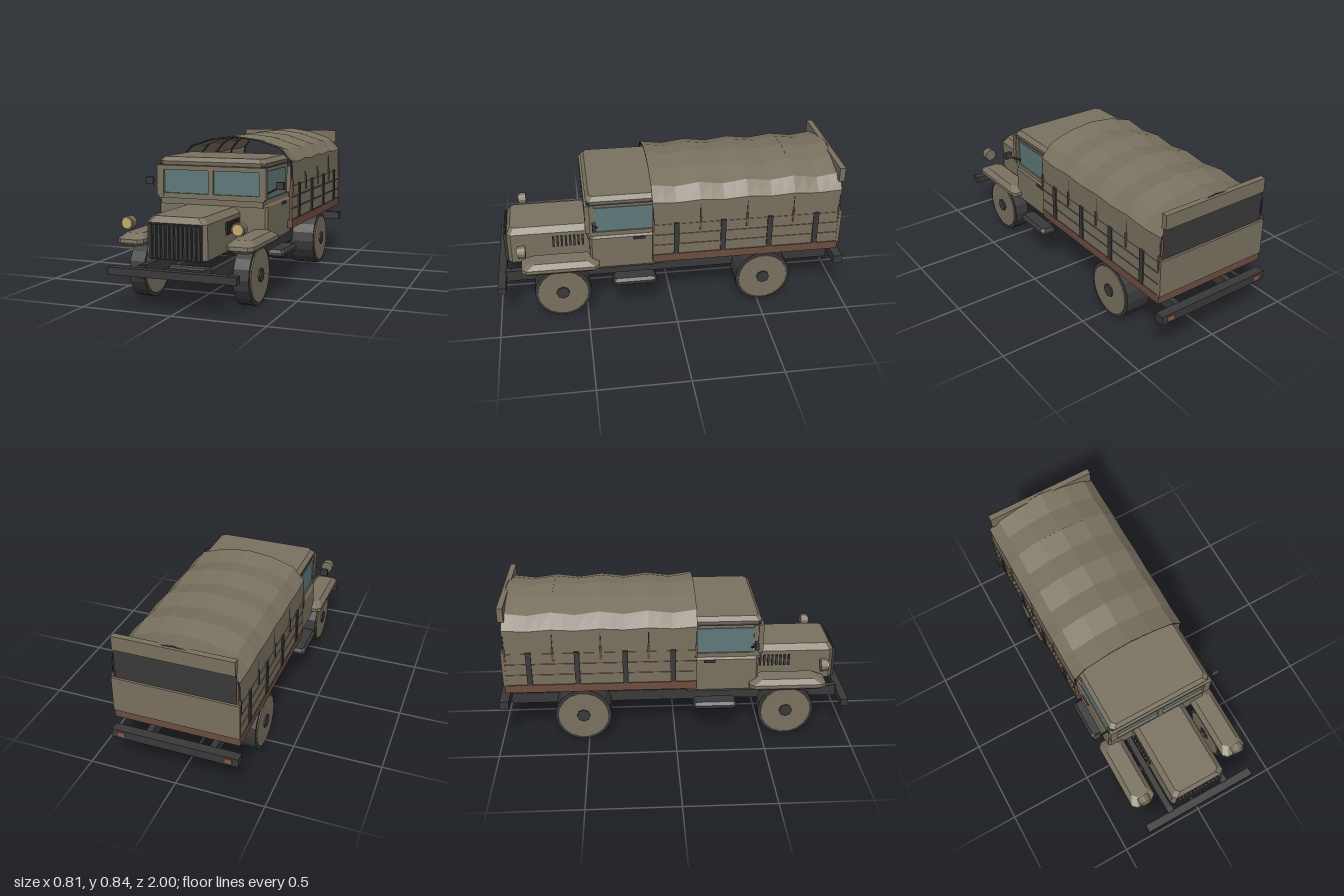
import * as THREE from 'three';

const mat = (name, color, extra = {}) => {
  const m = new THREE.MeshStandardMaterial({ color, flatShading: true, ...extra });
  m.name = name;
  return m;
};

export function createModel() {
  const paint = mat('olive tan paint', 0x79715f, { side: THREE.DoubleSide });
  const dark = mat('dark metal', 0x39393a);
  const glass = mat('window glass', 0x5f7878);
  const wood = mat('brown wood', 0x6c4c3e);
  const gold = mat('headlight lens', 0xc6ac6c);
  const amber = mat('tail light', 0x8a5a40);
  const truck = new THREE.Group();
  truck.name = 'truck';

  const add = (name, geo, m, x = 0, y = 0, z = 0) => {
    const mesh = new THREE.Mesh(geo, m);
    mesh.name = name;
    mesh.position.set(x, y, z);
    truck.add(mesh);
    return mesh;
  };
  // Box given by its limits on each axis
  const box = (name, m, x0, x1, y0, y1, z0, z1) =>
    add(name, new THREE.BoxGeometry(Math.abs(x1 - x0), y1 - y0, z1 - z0), m,
      (x0 + x1) / 2, (y0 + y1) / 2, (z0 + z1) / 2);
  // The same box on both sides
  const pair = (name, m, x0, x1, ...rest) => {
    for (const s of [1, -1]) box(name, m, s * x0, s * x1, ...rest);
  };
  // Stacked layers [y, half width, half length] with cut corners
  const loft = (name, m, x, z, cut, layers) => {
    const ring = ([y, w, l]) => [[w, l - cut], [w, cut - l], [w - cut, -l], [cut - w, -l],
      [-w, cut - l], [-w, l - cut], [cut - w, l], [w - cut, l]].map(([a, b]) => [a, y, b]);
    const rings = layers.map(ring), p = [];
    const tri = (a, b, c) => p.push(...a, ...b, ...c);
    for (let k = 0; k + 1 < rings.length; k++) {
      for (let i = 0; i < 8; i++) {
        const j = (i + 1) % 8, A = rings[k], B = rings[k + 1];
        tri(A[i], A[j], B[j]);
        tri(A[i], B[j], B[i]);
      }
    }
    const bottom = rings[0], top = rings[rings.length - 1];
    for (let i = 1; i < 7; i++) {
      tri(bottom[0], bottom[i + 1], bottom[i]);
      tri(top[0], top[i], top[i + 1]);
    }
    const g = new THREE.BufferGeometry();
    g.setAttribute('position', new THREE.Float32BufferAttribute(p, 3));
    g.computeVertexNormals();
    return add(name, g, m, x, 0, z);
  };
  const disc = (name, m, r, x0, x1, y, z, n = 18) => {
    const g = new THREE.CylinderGeometry(r, r, Math.abs(x1 - x0), n).rotateZ(Math.PI / 2);
    return add(name, g, m, (x0 + x1) / 2, y, z);
  };

  // Chassis
  pair('frameRail', dark, 0.165, 0.2, 0.17, 0.235, -0.95, 0.96);
  box('frontBumper', dark, -0.35, 0.35, 0.185, 0.225, 0.955, 1);
  pair('bumperBracket', dark, 0.162, 0.198, 0.168, 0.237, 0.93, 0.958);
  box('rearBumper', dark, -0.355, 0.355, 0.22, 0.27, -0.998, -0.945);
  pair('tailLight', amber, 0.28, 0.32, 0.232, 0.258, -1, -0.996);
  for (const s of [1, -1]) {
    loft('step', dark, s * 0.325, 0.225, 0.012,
      [[0.19, 0.03, 0.1], [0.205, 0.05, 0.125], [0.222, 0.05, 0.125], [0.238, 0.035, 0.115]]);
  }

  // Wheels and axles; the rear ones are wider
  for (const [z, inner, front] of [[0.637, 0.25, true], [-0.527, 0.188, false]]) {
    disc('axle', dark, 0.019, -0.28, 0.28, 0.161, z, 10);
    for (const s of [1, -1]) {
      disc('tyre', dark, 0.161, s * inner, s * 0.335, 0.161, z);
      disc('rim', paint, 0.143, s * 0.3, s * 0.341, 0.161, z);
      disc('hub', dark, 0.038, s * 0.3, s * 0.349, 0.161, z, 8);
      if (front) {
        disc('innerRim', paint, 0.143, s * 0.246, s * 0.27, 0.161, z);
        disc('innerHub', dark, 0.038, s * 0.242, s * 0.27, 0.161, z, 8);
      }
    }
  }

  // Hood, grille and vents
  loft('hood', paint, 0, 0.69, 0.02,
    [[0.275, 0.165, 0.245], [0.455, 0.165, 0.245], [0.487, 0.135, 0.225]]);
  box('grille', dark, -0.145, 0.145, 0.27, 0.455, 0.92, 0.94);
  for (let i = 0; i < 12; i++) {
    const x = -0.132 + i * 0.024;
    box('grilleBar', dark, x - 0.007, x + 0.007, 0.275, 0.45, 0.94, 0.953);
  }
  for (let i = 0; i < 8; i++) {
    const z = 0.505 + i * 0.024;
    pair('hoodVent', dark, 0.16, 0.173, 0.365, 0.432, z - 0.006, z + 0.006);
  }

  // Fenders, headlights and mirrors
  for (const s of [1, -1]) {
    loft('fender', paint, s * 0.303, 0.64, 0.025,
      [[0.305, 0.055, 0.195], [0.323, 0.073, 0.22], [0.343, 0.073, 0.218], [0.37, 0.047, 0.17]]);
    const lamp = (name, m, r, z0, z1) => add(name,
      new THREE.CylinderGeometry(r, r, z1 - z0, 14).rotateX(Math.PI / 2), m,
      s * 0.305, 0.431, (z0 + z1) / 2);
    lamp('headlight', paint, 0.036, 0.828, 0.868);
    lamp('headlightLens', gold, 0.029, 0.866, 0.874);
    const arm = new THREE.LineCurve3(new THREE.Vector3(s * 0.31, 0.56, 0.43),
      new THREE.Vector3(s * 0.375, 0.595, 0.445));
    add('mirrorArm', new THREE.TubeGeometry(arm, 1, 0.006, 6), dark);
  }
  pair('mirror', dark, 0.363, 0.405, 0.585, 0.625, 0.436, 0.456);

  // Cab
  loft('cabLower', paint, 0, 0.263, 0.012,
    [[0.28, 0.305, 0.2], [0.3, 0.32, 0.208], [0.49, 0.32, 0.208], [0.505, 0.31, 0.2]]);
  box('cabUpper', paint, -0.3, 0.3, 0.5, 0.705, 0.065, 0.47);
  pair('doorSill', paint, 0.298, 0.312, 0.503, 0.528, 0.07, 0.475);
  pair('sideWindow', glass, 0.298, 0.306, 0.53, 0.677, 0.115, 0.44);
  pair('windowPost', paint, 0.298, 0.312, 0.525, 0.695, 0.44, 0.475);
  pair('doorHandle', dark, 0.318, 0.328, 0.474, 0.489, 0.16, 0.225);
  box('roofSeal', dark, -0.308, 0.308, 0.695, 0.707, 0.07, 0.478);
  loft('roof', paint, 0, 0.275, 0.02,
    [[0.705, 0.308, 0.205], [0.722, 0.312, 0.208], [0.745, 0.29, 0.188]]);

  // Windshield and its frame
  box('windshield', glass, -0.285, 0.285, 0.54, 0.68, 0.468, 0.476);
  box('windshieldSill', paint, -0.31, 0.31, 0.518, 0.547, 0.465, 0.49);
  box('windshieldTop', paint, -0.32, 0.32, 0.675, 0.7, 0.465, 0.493);
  box('windshieldDivider', paint, -0.015, 0.015, 0.54, 0.68, 0.465, 0.49);
  pair('windshieldPost', paint, 0.28, 0.32, 0.53, 0.7, 0.465, 0.493);
  box('cowl', paint, -0.3, 0.3, 0.485, 0.52, 0.46, 0.482);

  // Cargo bed with plank sides, stakes and posts
  box('bedFloor', wood, -0.35, 0.35, 0.325, 0.372, -0.955, 0.12);
  pair('sideBacking', wood, 0.333, 0.344, 0.37, 0.565, -0.95, 0.12);
  for (let i = 0; i < 3; i++) {
    const y = 0.375 + i * 0.066;
    pair('sidePlank', paint, 0.34, 0.348, y, y + 0.06, -0.95, 0.12);
  }
  for (let i = 0; i < 4; i++) {
    const z = -0.013 - i * 0.267;
    pair('stake', dark, 0.33, 0.355, 0.375, 0.575, z - 0.015, z + 0.015);
  }
  for (let i = 0; i < 5; i++) {
    const z = 0.115 - i * 0.265;
    pair('canopyPost', wood, 0.335, 0.353, 0.522, 0.605, z - 0.006, z + 0.006);
  }
  box('tailgate', paint, -0.35, 0.35, 0.372, 0.578, -0.963, -0.945);
  box('rearBoard', paint, -0.328, 0.328, 0.754, 0.835, -0.965, -0.932);
  add('rearFlap', new THREE.PlaneGeometry(0.66, 0.19).rotateY(Math.PI), dark, 0, 0.662, -0.95);

  // Canvas canopy, sagging between its hoops
  const half = [[0.345, 0.55], [0.345, 0.71], [0.28, 0.785], [0.145, 0.828], [0, 0.845]];
  const profile = [...half, ...half.slice(0, 4).reverse().map(([x, y]) => [-x, y])];
  const point = ([x, y], k) => {
    const sag = y < 0.6 ? 0 : y < 0.75 ? 0.009 : 0.018;
    return [x, y - sag * Math.sin(k * Math.PI / 4) ** 2, 0.12 - k * 1.07 / 16];
  };
  const pos = [];
  for (let k = 0; k < 16; k++) {
    for (let i = 0; i + 1 < profile.length; i++) {
      const a = point(profile[i], k), b = point(profile[i + 1], k);
      const c = point(profile[i + 1], k + 1), d = point(profile[i], k + 1);
      pos.push(...a, ...c, ...b, ...a, ...d, ...c);
    }
  }
  const canvas = new THREE.BufferGeometry();
  canvas.setAttribute('position', new THREE.Float32BufferAttribute(pos, 3));
  canvas.computeVertexNormals();
  // Keep the outward side as the front
  if (canvas.attributes.normal.getX(0) < 0) {
    const p = canvas.attributes.position;
    for (let i = 0; i < p.count; i += 3) {
      const v = new THREE.Vector3().fromBufferAttribute(p, i + 1);
      p.setXYZ(i + 1, p.getX(i + 2), p.getY(i + 2), p.getZ(i + 2));
      p.setXYZ(i + 2, v.x, v.y, v.z);
    }
    canvas.computeVertexNormals();
  }
  add('canopy', canvas, paint);
  for (let i = 0; i < 5; i++) {
    const path = new THREE.CurvePath();
    const pts = profile.map(([x, y]) => new THREE.Vector3(x * 0.99, y - 0.005, 0.115 - i * 0.265));
    for (let k = 0; k + 1 < pts.length; k++) path.add(new THREE.LineCurve3(pts[k], pts[k + 1]));
    add('hoop', new THREE.TubeGeometry(path, 32, 0.005, 5), dark);
  }
  return truck;
}
